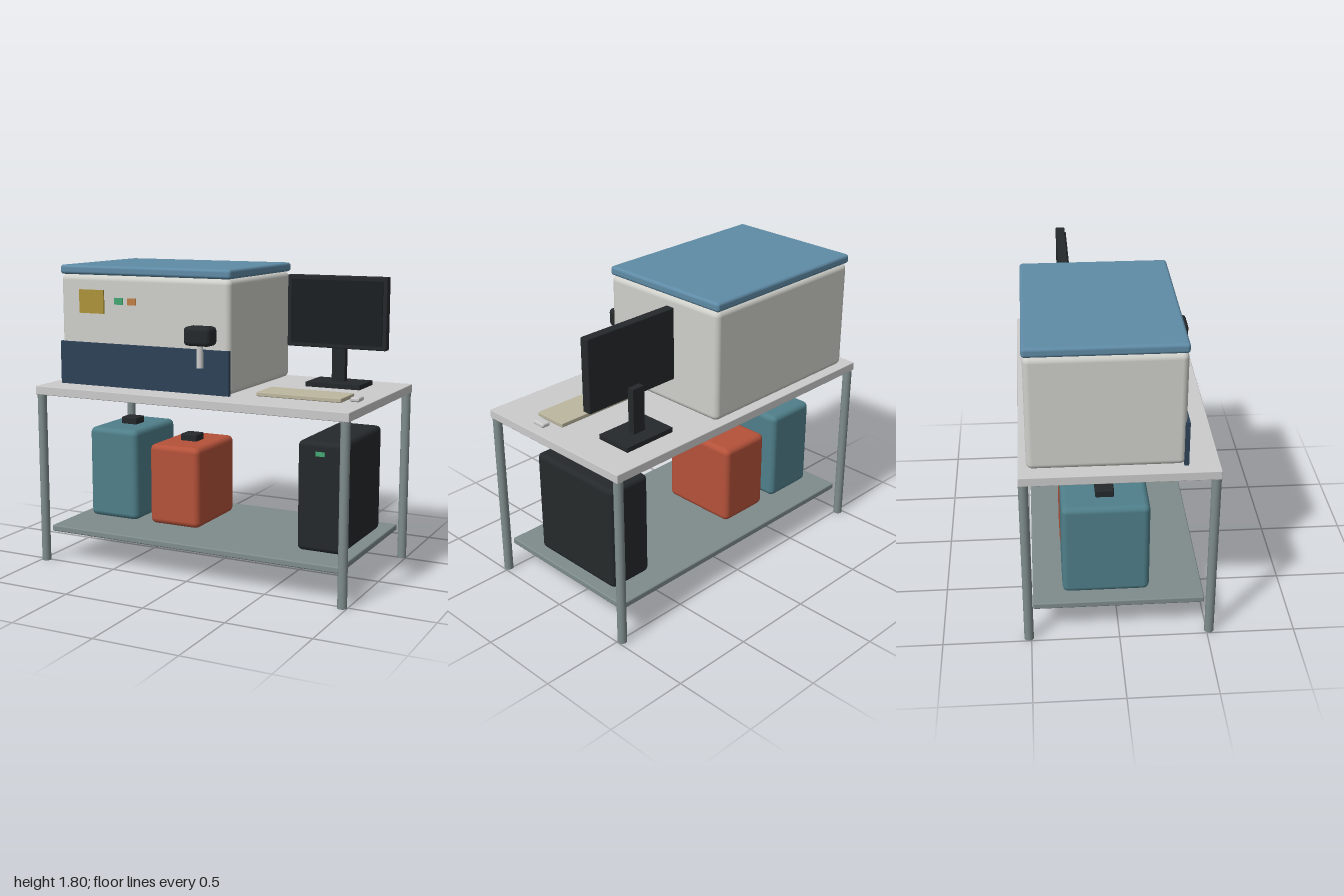
import * as THREE from 'three';
import { RoundedBoxGeometry } from 'three/addons/geometries/RoundedBoxGeometry.js';

const paint = (color) => new THREE.MeshStandardMaterial({ color });
const MAT = {
  grey: paint(0xcccccc), steel: paint(0x7f8c8c), shell: paint(0xcfcfca), blue: paint(0x5f8ba6),
  navy: paint(0x2e4258), black: paint(0x25292b), glass: paint(0x1b1f21), cream: paint(0xbdb79f),
  teal: paint(0x4f7f8a), rust: paint(0xb5523a), gold: paint(0xae943a),
  green: paint(0x43a873), orange: paint(0xc08045),
};

export function createModel() {
  const model = new THREE.Group();

  // Box given by its [min, max] range on each axis; radius > 0 rounds the edges
  function box(parent, name, mat, x, y, z, radius = 0, segments = 3) {
    const size = [x, y, z].map(([a, b]) => b - a);
    const geometry = radius
      ? new RoundedBoxGeometry(...size, segments, radius)
      : new THREE.BoxGeometry(...size);
    const mesh = new THREE.Mesh(geometry, mat);
    mesh.position.set(...[x, y, z].map(([a, b]) => (a + b) / 2));
    mesh.name = name;
    parent.add(mesh);
    return mesh;
  }

  function rod(parent, name, mat, radius, x, [y0, y1], z) {
    const mesh = new THREE.Mesh(new THREE.CylinderGeometry(radius, radius, y1 - y0, 20), mat);
    mesh.position.set(x, (y0 + y1) / 2, z);
    mesh.name = name;
    parent.add(mesh);
  }

  function group(name) {
    const g = new THREE.Group();
    g.name = name;
    model.add(g);
    return g;
  }

  // Workbench: top, lower shelf and four round legs
  const bench = group('workbench');
  box(bench, 'benchTop', MAT.grey, [-1, 1], [1.035, 1.087], [-0.54, 0.54], 0.004, 1);
  box(bench, 'lowerShelf', MAT.steel, [-0.945, 0.945], [0.178, 0.216], [-0.485, 0.485], 0.008, 2);
  for (const sx of [-1, 1]) {
    for (const sz of [-1, 1]) rod(bench, 'leg', MAT.steel, 0.027, sx * 0.972, [0, 1.035], sz * 0.514);
  }

  // Bench instrument: shell, lid, front skirt, display and buttons
  const machine = group('instrument');
  box(machine, 'shell', MAT.shell, [-0.927, 0.21], [1.087, 1.748], [-0.495, 0.355], 0.035, 4);
  box(machine, 'lid', MAT.blue, [-0.93, 0.212], [1.747, 1.802], [-0.5, 0.357], 0.018, 3);
  box(machine, 'frontSkirt', MAT.navy, [-0.927, 0.21], [1.087, 1.345], [0.345, 0.37]);
  box(machine, 'display', MAT.gold, [-0.79, -0.62], [1.52, 1.66], [0.345, 0.365]);
  box(machine, 'greenButton', MAT.green, [-0.547, -0.49], [1.578, 1.618], [0.345, 0.362]);
  box(machine, 'orangeButton', MAT.orange, [-0.46, -0.402], [1.578, 1.618], [0.345, 0.362]);

  // Sampling port with its needle
  box(machine, 'samplePort', MAT.black, [-0.032, 0.137], [1.375, 1.485], [0.36, 0.472], 0.025, 2);
  rod(machine, 'sampleNeedle', MAT.grey, 0.019, 0.053, [1.247, 1.39], 0.42);

  // Monitor on its stand
  const monitor = group('monitor');
  box(monitor, 'monitorCase', MAT.black, [0.314, 0.938], [1.32, 1.747], [-0.27, -0.214], 0.006, 1);
  box(monitor, 'screen', MAT.glass, [0.34, 0.913], [1.345, 1.722], [-0.22, -0.206]);
  box(monitor, 'monitorNeck', MAT.black, [0.583, 0.665], [1.1, 1.385], [-0.31, -0.268]);
  box(monitor, 'monitorBase', MAT.black, [0.455, 0.795], [1.087, 1.115], [-0.398, -0.172]);

  // Keyboard and mouse
  const inputs = group('inputDevices');
  box(inputs, 'keyboard', MAT.cream, [0.34, 0.855], [1.087, 1.112], [0.07, 0.282], 0.005, 1);
  box(inputs, 'mouse', MAT.grey, [0.883, 0.938], [1.087, 1.113], [0.138, 0.222], 0.01, 2);

  // Two capped reagent containers
  const containers = [
    ['tealContainer', MAT.teal, -0.69, 0.785],
    ['rustContainer', MAT.rust, -0.26, 0.715],
  ];
  for (const [name, mat, x, top] of containers) {
    const g = group(name);
    box(g, 'containerBody', mat, [x - 0.17, x + 0.17], [0.216, top], [-0.315, 0.18], 0.035, 2);
    box(g, 'containerCap', MAT.black, [x - 0.055, x + 0.055], [top - 0.01, top + 0.042], [-0.12, -0.015], 0.008, 2);
  }

  // Computer tower with a status light
  const tower = group('computerTower');
  box(tower, 'towerCase', MAT.black, [0.6, 0.88], [0.216, 0.857], [-0.35, 0.287], 0.03, 2);
  box(tower, 'statusLight', MAT.green, [0.713, 0.767], [0.777, 0.802], [0.28, 0.295]);

  return model;
}
